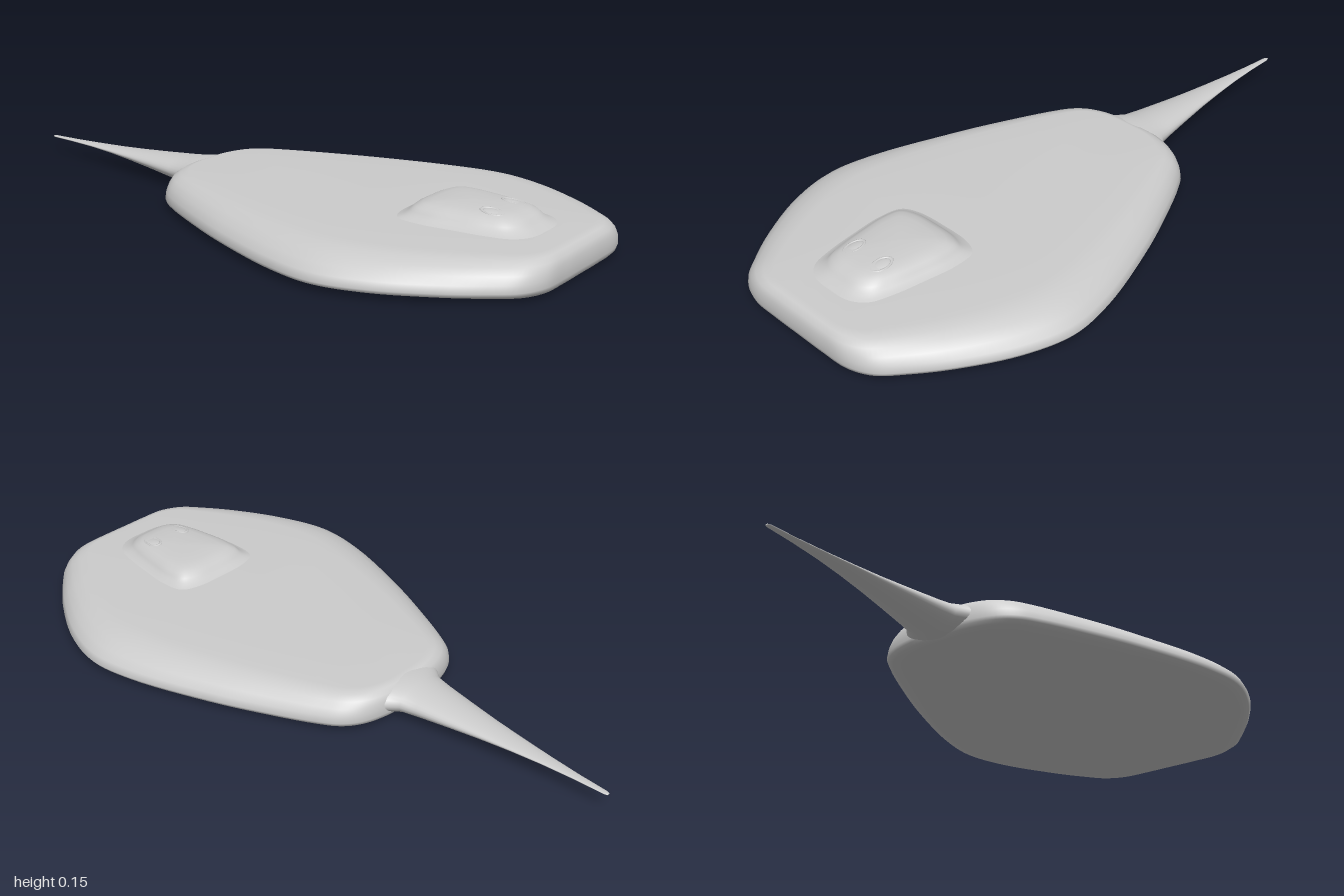
import * as THREE from 'three';

const material = new THREE.MeshStandardMaterial({ color: 0xcccccc });

// Skin a stack of closed rings (same point count) with smooth normals
function loft(name, rings) {
  const n = rings[0].length, pos = [], idx = [];
  rings.forEach(r => r.forEach(p => pos.push(p.x, p.y, p.z)));
  for (let i = 0; i < rings.length - 1; i++) {
    for (let j = 0; j < n; j++) {
      const k = (j + 1) % n;
      const a = i * n + j, b = i * n + k, c = b + n, d = a + n;
      idx.push(a, b, c, a, c, d);
    }
  }
  const g = new THREE.BufferGeometry();
  g.setAttribute('position', new THREE.Float32BufferAttribute(pos, 3));
  g.setIndex(idx);
  g.computeVertexNormals();
  const mesh = new THREE.Mesh(g, material);
  mesh.name = name;
  return mesh;
}

// Closed plan outline from half a silhouette [x, z], mirrored across x = 0
function outline(half, count) {
  const left = half.map(([x, z]) => new THREE.Vector3(x, 0, z));
  const right = half.slice(1, -1).reverse().map(([x, z]) => new THREE.Vector3(-x, 0, z));
  const curve = new THREE.CatmullRomCurve3([...left, ...right], true, 'centripetal');
  return curve.getPoints(count).slice(0, -1);
}

// Layers [y, x scale, z scale] of an outline, scaled about z = cz
const layered = (plan, cz, layers) => layers.map(([y, sx, sz]) =>
  plan.map(p => new THREE.Vector3(p.x * sx, y, cz + (p.z - cz) * sz)));

export function createModel() {
  const model = new THREE.Group();
  model.name = 'stingray';

  // Flat disc body with thin side fins
  const bodyPlan = outline([
    [0, 1], [0.1, 1], [0.2, 0.995], [0.27, 0.965], [0.33, 0.9], [0.4, 0.805],
    [0.485, 0.65], [0.525, 0.5], [0.505, 0.35], [0.42, 0.1], [0.35, -0.06],
    [0.28, -0.2], [0.24, -0.26], [0.19, -0.297], [0.1, -0.322], [0, -0.325],
  ], 180);
  model.add(loft('body', layered(bodyPlan, 0.335, [
    [0, 0, 0], [0.001, 0.6, 0.7], [0.004, 0.8, 0.96], [0.01, 0.93, 0.985],
    [0.019, 0.985, 0.996], [0.03, 1, 1], [0.05, 0.98, 1], [0.07, 0.935, 0.996],
    [0.087, 0.875, 0.986], [0.098, 0.8, 0.965], [0.104, 0.72, 0.935],
    [0.106, 0.5, 0.6], [0.107, 0, 0],
  ])));

  // Tapering tail: [z, half width, half height, centre y]
  const tailSections = [
    [-0.2, 0, 0, 0.055], [-0.22, 0.15, 0.045, 0.055], [-0.28, 0.15, 0.047, 0.054],
    [-0.32, 0.115, 0.046, 0.054], [-0.35, 0.091, 0.042, 0.054], [-0.4, 0.08, 0.037, 0.054],
    [-0.5, 0.063, 0.027, 0.055], [-0.6, 0.047, 0.018, 0.056], [-0.7, 0.034, 0.01, 0.057],
    [-0.8, 0.022, 0.006, 0.057], [-0.9, 0.013, 0.004, 0.056], [-0.99, 0.008, 0.003, 0.055],
    [-1, 0.005, 0.002, 0.055], [-1, 0, 0, 0.055],
  ];
  model.add(loft('tail', tailSections.map(([z, w, h, y]) =>
    Array.from({ length: 32 }, (_, i) => {
      const a = i / 32 * Math.PI * 2;
      return new THREE.Vector3(Math.sin(a) * w, y + Math.cos(a) * h, z);
    }))));

  // Raised head with a flared base
  const headPlan = outline([
    [0, 0.84], [0.055, 0.835], [0.09, 0.81], [0.108, 0.76], [0.122, 0.68],
    [0.13, 0.6], [0.12, 0.545], [0.08, 0.525], [0, 0.52],
  ], 96);
  model.add(loft('head', layered(headPlan, 0.67, [
    [0.1, 1.4, 1.35], [0.107, 1.23, 1.23], [0.115, 1.1, 1.12], [0.125, 1.03, 1.05],
    [0.136, 0.95, 0.97], [0.144, 0.82, 0.86], [0.149, 0.65, 0.7],
    [0.152, 0.35, 0.4], [0.153, 0, 0],
  ])));

  // Small oval eyes with a raised rim
  for (const side of [1, -1]) {
    const eye = new THREE.Group();
    eye.name = side > 0 ? 'leftEye' : 'rightEye';
    const rim = new THREE.Mesh(new THREE.TorusGeometry(0.02, 0.0035, 8, 32), material);
    rim.name = 'eyeRim';
    rim.rotation.x = Math.PI / 2;
    rim.scale.set(1, 1.65, 1);
    const ball = new THREE.Mesh(new THREE.SphereGeometry(0.018, 24, 12), material);
    ball.name = 'eyeball';
    ball.scale.set(1, 0.25, 1.65);
    eye.add(rim, ball);
    eye.position.set(side * 0.057, 0.1465, 0.755);
    eye.rotation.set(0.09, 0, -side * 0.09);
    model.add(eye);
  }
  return model;
}
